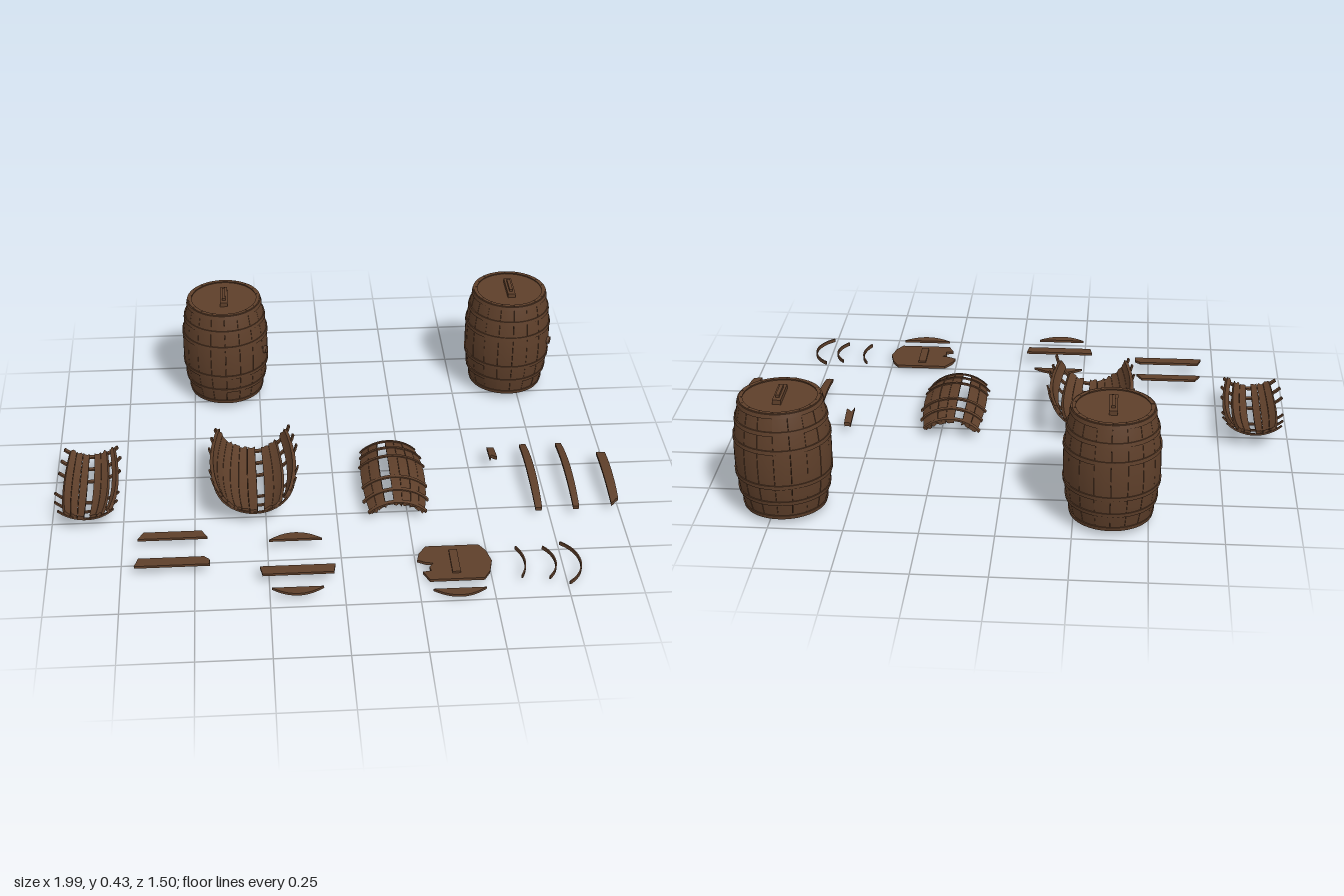
import * as THREE from 'three';

const HALF = 0.195; // half the barrel length
const bulge = (y) => 0.134 + 0.027 * (1 - (y / HALF) ** 2);

export function createModel() {
  const root = new THREE.Group();
  const wood = new THREE.MeshStandardMaterial({ color: 0x5e3f2a });
  wood.name = 'brown wood';

  let seed = 7;
  const rand = () => (seed = (seed * 16807) % 2147483647) / 2147483647;

  function add(parent, name, geo, x = 0, y = 0, z = 0) {
    const m = new THREE.Mesh(geo, wood);
    m.name = name;
    m.position.set(x, y, z);
    parent.add(m);
    return m;
  }
  function group(name, x, y, z, rx = 0) {
    const g = new THREE.Group();
    g.name = name;
    g.position.set(x, y, z);
    g.rotation.x = rx;
    root.add(g);
    return g;
  }

  // Curved slab that follows the barrel surface; jag roughens its two ends
  function slab(a0, a1, y0, y1, inner, outer, jag = 0) {
    const na = Math.max(3, Math.ceil((a1 - a0) / 0.12));
    const ny = y1 - y0 > 0.05 ? 12 : 1;
    const geo = new THREE.BoxGeometry(1, 1, 1, na, ny, 1);
    const low = [], high = [];
    for (let i = 0; i <= na; i++) {
      low.push(y0 + jag * rand());
      high.push(y1 - jag * rand());
    }
    const p = geo.attributes.position;
    for (let i = 0; i < p.count; i++) {
      const u = p.getX(i) + 0.5, v = p.getY(i) + 0.5;
      const col = Math.round(u * na);
      const a = a0 + (a1 - a0) * u;
      const y = low[col] + (high[col] - low[col]) * v;
      const r = bulge(y) + (p.getZ(i) > 0 ? outer : inner);
      p.setXYZ(i, r * Math.sin(a), y, r * Math.cos(a));
    }
    geo.computeVertexNormals();
    return geo;
  }

  const hoopHeights = [-0.186, -0.128, -0.064, 0.064, 0.128, 0.186];

  // Whole barrels
  for (const x of [-0.375, 0.715]) {
    const barrel = group('barrel', x, 0.215, -0.59);
    const n = 18, step = (Math.PI * 2) / n;
    for (let i = 0; i < n; i++) {
      const lift = 0.0015 * rand();
      add(barrel, 'stave', slab(i * step, (i + 1) * step - 0.008, -HALF, HALF, -0.012, lift));
    }
    for (const y of hoopHeights) {
      add(barrel, 'hoop', slab(0, Math.PI * 2, y - 0.007, y + 0.007, -0.002, 0.0045));
    }
    for (const s of [-1, 1]) {
      add(barrel, s > 0 ? 'lid' : 'base', new THREE.CylinderGeometry(0.127, 0.127, 0.014, 40), 0, s * 0.183, 0);
    }
    add(barrel, 'lidHandle', new THREE.BoxGeometry(0.028, 0.016, 0.12), 0, 0.198, 0);
    add(barrel, 'handleRidge', new THREE.BoxGeometry(0.012, 0.01, 0.08), 0, 0.21, 0);
    const bung = add(barrel, 'bung', new THREE.CylinderGeometry(0.014, 0.016, 0.022, 12), 0.147, 0, 0.064);
    bung.rotation.set(0, -Math.atan2(0.064, 0.147), -Math.PI / 2);
  }

  // Broken barrel walls: stave runs separated by missing staves, tied by bent hoops
  const walls = [
    { x: -0.875, y: 0.192, rx: Math.PI / 2, hoops: [-0.84, 0.84],
      runs: [[-0.6, -0.04], [0.1, 0.47], [0.58, 0.72]] },
    { x: -0.288, y: 0.192, rx: Math.PI / 2, hoops: [-1.4, 1.4],
      runs: [[-1.26, 0.08], [0.25, 0.74], [0.92, 1.22]] },
    { x: 0.21, y: -0.06, rx: -Math.PI / 2, hoops: [-0.88, 0.88],
      runs: [[-0.78, -0.3], [-0.09, 0.8]] },
  ];
  for (const w of walls) {
    const wall = group('brokenBarrelWall', w.x, w.y, 0.11, w.rx);
    for (const [a0, a1] of w.runs) {
      const n = Math.max(1, Math.round((a1 - a0) / 0.22));
      const step = (a1 - a0) / n;
      for (let i = 0; i < n; i++) {
        add(wall, 'brokenStave',
          slab(a0 + i * step, a0 + (i + 1) * step - 0.01, -HALF, HALF, -0.012, 0.0015 * rand(), 0.014));
      }
    }
    for (const y of hoopHeights) {
      const cut = () => 0.09 * rand();
      add(wall, 'brokenHoop',
        slab(w.hoops[0] + cut(), w.hoops[1] - cut(), y - 0.006, y + 0.006, -0.002, 0.0045));
    }
  }

  // Loose bowed staves: centre x, half angle, start and end along the length, roughness
  const loose = [
    [0.587, 0.09, 0.08, HALF, 0.03],
    [0.71, 0.09, -HALF, HALF, 0],
    [0.843, 0.08, -HALF, HALF, 0],
    [0.983, 0.105, -HALF, 0.11, 0.03],
  ];
  for (const [x, a, y0, y1, jag] of loose) {
    const stave = group('looseStave', x, -0.097, 0.11, -Math.PI / 2);
    add(stave, 'staveBoard', slab(-a, a, y0, y1, -0.014, 0, jag));
  }

  // Flat board drawn in x and z, laid on its level
  function board(name, points, y, thick) {
    const shape = new THREE.Shape(points.map(([x, z]) => new THREE.Vector2(x, -z)));
    const geo = new THREE.ExtrudeGeometry(shape, { depth: thick, bevelEnabled: false });
    geo.rotateX(-Math.PI / 2);
    return add(root, name, geo, 0, y, 0);
  }
  // Outline of a round-edged offcut; dir is the side the curve faces along z
  function offcut(x0, x1, zFlat, rise, dir) {
    const pts = [];
    for (let i = 0; i <= 10; i++) {
      const t = i / 10;
      pts.push([x0 + (x1 - x0) * t, zFlat + dir * rise * (1 - (2 * t - 1) ** 2)]);
    }
    return pts;
  }

  // Broken lid boards
  board('lidPlank', [[-0.675, 0.375], [-0.475, 0.375], [-0.455, 0.412], [-0.695, 0.412]], 0.036, 0.009);
  board('lidPlank', [[-0.69, 0.518], [-0.467, 0.518], [-0.448, 0.535], [-0.448, 0.56], [-0.703, 0.56]], 0.036, 0.009);
  board('lidPlank', [[-0.28, 0.585], [-0.025, 0.585], [-0.032, 0.627], [-0.272, 0.627]], 0.036, 0.009);
  board('lidOffcut', offcut(-0.245, -0.063, 0.442, 0.037, -1), 0.036, 0.009);
  board('lidOffcut', offcut(-0.243, -0.07, 0.7, 0.035, 1), 0.036, 0.009);
  board('lidOffcut', offcut(0.293, 0.472, 0.71, 0.036, 1), 0.012, 0.009);

  // Split lid with a bite out of its side, and its handle
  board('splitLid', [
    [0.29, 0.48], [0.473, 0.48], [0.495, 0.515], [0.508, 0.57], [0.495, 0.625], [0.473, 0.66],
    [0.288, 0.66], [0.268, 0.617], [0.297, 0.612], [0.293, 0.592], [0.307, 0.572],
    [0.282, 0.568], [0.255, 0.553], [0.263, 0.52],
  ], 0.01, 0.01);
  add(root, 'splitLidHandle', new THREE.BoxGeometry(0.028, 0.02, 0.12), 0.381, 0.017, 0.57);
  add(root, 'splitLidPeg', new THREE.BoxGeometry(0.014, 0.012, 0.08), 0.381, 0.006, 0.56);

  // Loose hoop fragments: outer x, middle z, half chord, radius
  for (const [x, z, half, r] of [[0.622, 0.58, 0.08, 0.16], [0.726, 0.588, 0.083, 0.12], [0.811, 0.593, 0.109, 0.135]]) {
    const a = Math.asin(half / r);
    const shape = new THREE.Shape();
    shape.absarc(0, 0, r, -a, a, false);
    shape.absarc(0, 0, r - 0.005, a, -a, true);
    const geo = new THREE.ExtrudeGeometry(shape, { depth: 0.013, bevelEnabled: false, curveSegments: 14 });
    geo.rotateX(-Math.PI / 2);
    add(root, 'hoopFragment', geo, x - r, 0.01, z);
  }

  return root;
}
